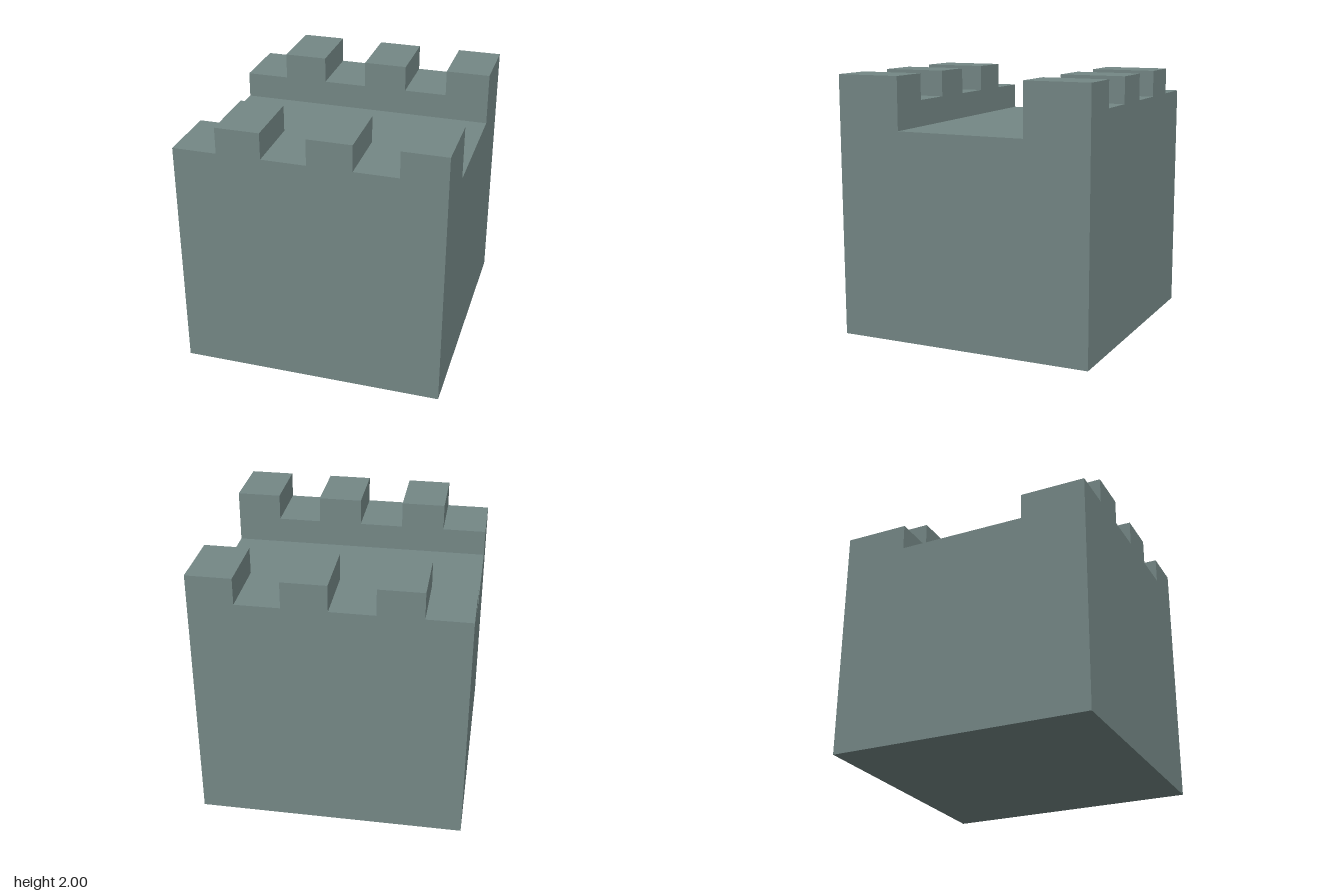
import * as THREE from 'three';

const SIZE = 2, HALF = 1;
const FLOOR = 1.6, NOTCH = 1.8, TOP = 2; // heights of walkway, notches and merlons
const WALL = 0.5; // wall thickness

// Crenellated wall outline, extruded along z
function wallGeometry() {
  const merlons = [[-0.667, -0.335], [0, 0.333], [0.663, HALF]];
  const shape = new THREE.Shape();
  shape.moveTo(-HALF, 0);
  shape.lineTo(HALF, 0);
  for (const [left, right] of merlons.reverse()) {
    if (right < HALF) shape.lineTo(right, NOTCH);
    shape.lineTo(right, TOP);
    shape.lineTo(left, TOP);
    shape.lineTo(left, NOTCH);
  }
  shape.lineTo(-HALF, NOTCH);
  shape.closePath();
  return new THREE.ExtrudeGeometry(shape, { depth: WALL, bevelEnabled: false });
}

export function createModel() {
  const model = new THREE.Group();
  model.name = 'castleBlock';
  const stone = new THREE.MeshStandardMaterial({ color: 0x748785 });

  // Solid core whose top is the walkway between the walls
  const core = new THREE.Mesh(new THREE.BoxGeometry(SIZE, FLOOR, SIZE - 2 * WALL), stone);
  core.name = 'core';
  core.position.y = FLOOR / 2;
  model.add(core);

  // Front and back walls share the same battlement pattern
  const geometry = wallGeometry();
  for (const [name, z] of [['frontWall', HALF - WALL], ['backWall', -HALF]]) {
    const wall = new THREE.Mesh(geometry, stone);
    wall.name = name;
    wall.position.z = z;
    model.add(wall);
  }
  return model;
}
